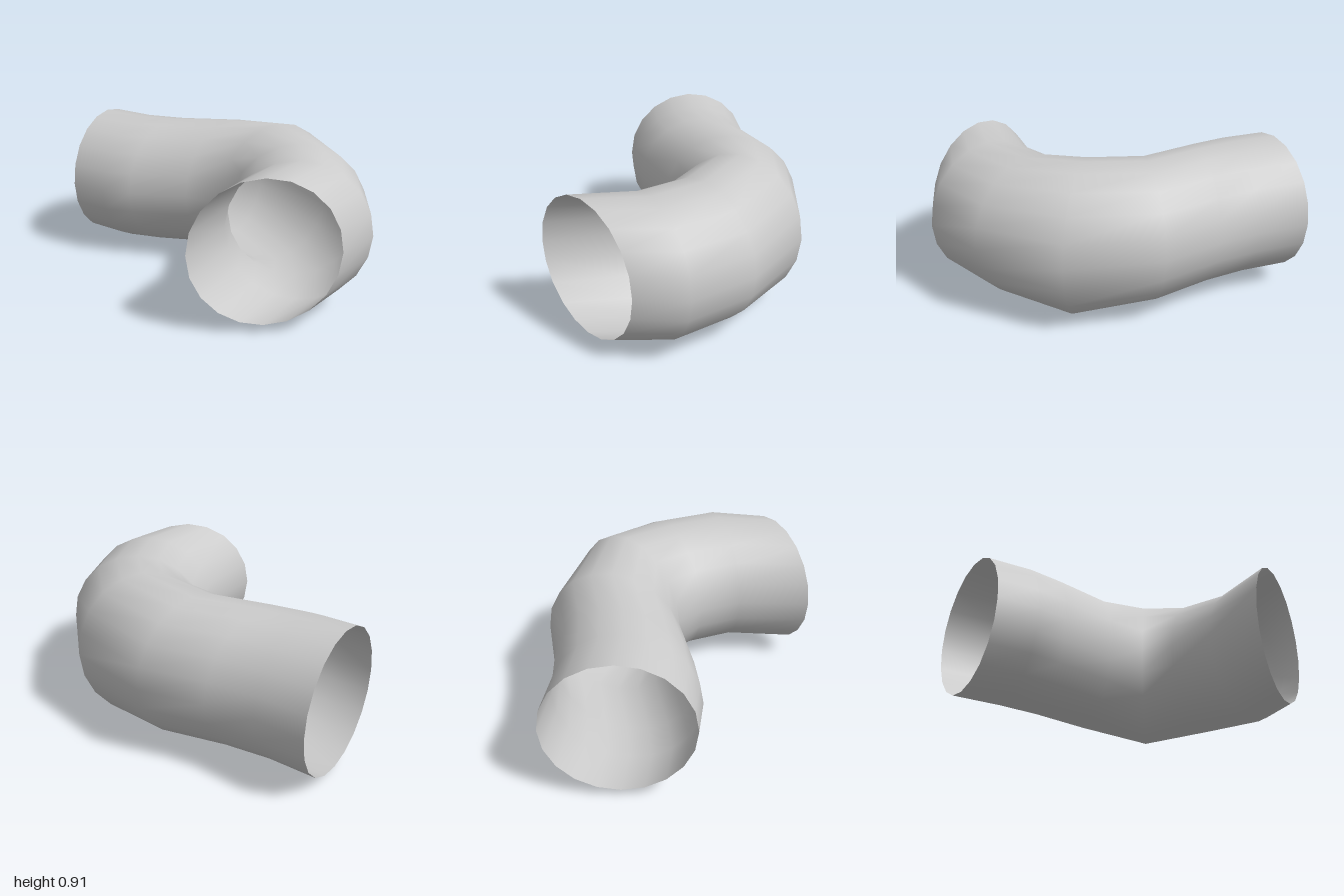
import * as THREE from 'three';

// Ring stations along the bend: [outer x, outer z, inner x, inner z, centre y, half height]
const RINGS = [
  [-1.0, -0.73, -1.0, 0.09, 0.463, 0.409],
  [-0.70, -0.70, -0.765, 0.115, 0.455, 0.41],
  [-0.42, -0.72, -0.58, 0.085, 0.457, 0.409],
  [-0.05, -0.80, -0.22, 0.0, 0.467, 0.41],
  [0.48, -0.66, 0.01, -0.025, 0.457, 0.454],
  [0.845, -0.28, 0.13, 0.12, 0.467, 0.41],
  [1.0, 0.10, 0.225, 0.36, 0.466, 0.41],
  [0.925, 0.385, 0.215, 0.79, 0.464, 0.41],
];
const SIDES = 20;

// Skin elliptical rings into an open, smooth tube
function skinRings(rings) {
  const positions = [];
  const index = [];
  rings.forEach(([ox, oz, ix, iz, cy, h], r) => {
    for (let s = 0; s < SIDES; s++) {
      const a = (s / SIDES) * Math.PI * 2;
      const t = (1 + Math.cos(a)) / 2;
      positions.push(ix + (ox - ix) * t, cy + h * Math.sin(a), iz + (oz - iz) * t);
      if (r === rings.length - 1) continue;
      const n = (s + 1) % SIDES;
      const p = r * SIDES + s, q = r * SIDES + n;
      index.push(p, q, p + SIDES, q, q + SIDES, p + SIDES);
    }
  });
  const geometry = new THREE.BufferGeometry();
  geometry.setAttribute('position', new THREE.Float32BufferAttribute(positions, 3));
  geometry.setIndex(index);
  geometry.computeVertexNormals();
  return geometry;
}

export function createModel() {
  const group = new THREE.Group();
  group.name = 'pipeElbow';

  // Thin-walled bent pipe, open at both ends
  const pipe = new THREE.Mesh(
    skinRings(RINGS),
    new THREE.MeshStandardMaterial({ color: 0xcccccc, side: THREE.DoubleSide })
  );
  pipe.name = 'bentPipe';
  group.add(pipe);
  return group;
}
